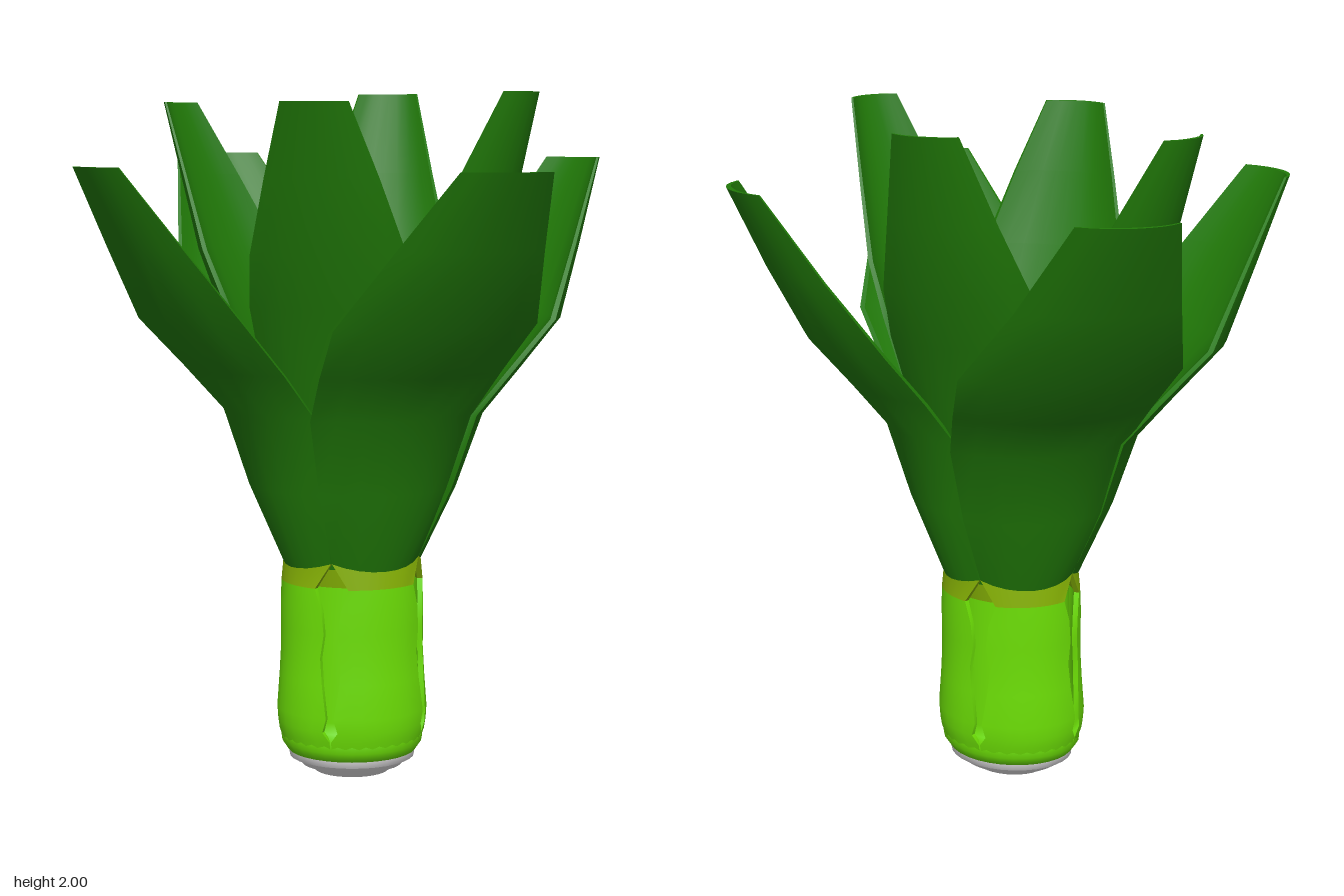
import * as THREE from 'three';
import { toCreasedNormals } from 'three/addons/utils/BufferGeometryUtils.js';

const mat = (name, color) => {
  const m = new THREE.MeshStandardMaterial({ color });
  m.name = name;
  return m;
};
const DEG = Math.PI / 180;

// The plant is oval in plan: longer along one diagonal, shorter along the other
const OVAL = new THREE.Matrix4().makeRotationY(Math.PI / 4)
  .multiply(new THREE.Matrix4().makeScale(1.12, 1, 0.88))
  .multiply(new THREE.Matrix4().makeRotationY(-Math.PI / 4));

// Curved blade swept through horizontal crescent sections, turned to its angle.
// Each row: [y, radius at the midrib, half width, sagitta, thickness, edge lift, sideways shift]
function blade(rows, angle, n = 8) {
  const pos = [], idx = [], ring = 2 * (n + 1);
  for (const [y, r, w, s, t, lift = 0, shift = 0] of rows) {
    const R = (w * w + s * s) / (2 * s), a = 2 * Math.atan2(s, w);
    const point = (u, rad) =>
      pos.push(shift + rad * Math.sin(a * u), y + lift * u * u, r - R + rad * Math.cos(a * u));
    for (let i = 0; i <= n; i++) point(-1 + 2 * i / n, R);
    for (let i = n; i >= 0; i--) point(-1 + 2 * i / n, R - t * (1 - 0.6 * Math.abs(-1 + 2 * i / n)));
  }
  for (let k = 0; k < rows.length - 1; k++) {
    for (let i = 0; i < ring; i++) {
      const a = k * ring + i, b = k * ring + (i + 1) % ring;
      idx.push(a, b, b + ring, a, b + ring, a + ring);
    }
  }
  // end caps
  const top = (rows.length - 1) * ring;
  for (let i = 0; i < n; i++) {
    const o = i, p = i + 1, q = ring - 2 - i, s = ring - 1 - i;
    idx.push(top + o, top + p, top + q, top + o, top + q, top + s);
    idx.push(o, q, p, o, s, q);
  }
  const g = new THREE.BufferGeometry();
  g.setAttribute('position', new THREE.Float32BufferAttribute(pos, 3));
  g.setIndex(idx);
  g.rotateY(angle * DEG);
  return toCreasedNormals(g.applyMatrix4(OVAL), 0.8);
}

const lathe = (points) =>
  new THREE.LatheGeometry(points.map(([x, y]) => new THREE.Vector2(x, y)), 32);

// Row of a sheath that follows a circle: radius and half angle in degrees
const sheathRow = (y, r, deg, lift = 0) =>
  [y, r, r * Math.sin(deg * DEG), r * (1 - Math.cos(deg * DEG)), 0.035, lift];

export function createModel() {
  const leafGreen = mat('leaf green', 0x217a08);
  const lime = mat('stalk lime', 0x6cde05);
  const olive = mat('neck yellow green', 0x86b204);
  const white = mat('root white', 0xf6f4f6);

  const model = new THREE.Group();
  model.name = 'leafyVegetable';
  const plant = new THREE.Group();
  plant.name = 'plant';
  plant.position.set(0.02, 0, -0.035);
  model.add(plant);

  const add = (name, geometry, material) => {
    const m = new THREE.Mesh(geometry, material);
    m.name = name;
    plant.add(m);
  };

  // Stepped root end
  add('rootEnd', lathe([[0, 0.012], [0.09, 0.008], [0.1, 0], [0.108, 0.018], [0.135, 0.022],
    [0.145, 0.04], [0.166, 0.046], [0.168, 0.075]]).applyMatrix4(OVAL), white);

  // Inner stalk with its rounded foot, neck and hidden heart
  add('stalk', lathe([[0.13, 0.06], [0.17, 0.066], [0.187, 0.095], [0.189, 0.13], [0.176, 0.15],
    [0.16, 0.18], [0.154, 0.585]]).applyMatrix4(OVAL), lime);
  add('neck', lathe([[0.154, 0.585], [0.166, 0.655]]).applyMatrix4(OVAL), olive);
  add('heart', lathe([[0.15, 0.655], [0.162, 0.78], [0.168, 0.88], [0.158, 0.94], [0.12, 0.99],
    [0.06, 1.015], [0, 1.02]]).scale(1.1, 1, 0.88), leafGreen);

  // Outer leaves: angle, tip height, spread, sideways shift at the widest part and at the tip
  const outer = [
    [-17, 1.79, 1, -0.03, 0.085], [73, 1.78, 1.03, 0, 0],
    [163, 1.81, 0.91, -0.07, 0.015], [253, 1.82, 1.1, 0, 0.01],
  ];
  for (const [angle, tip, k, wide, end] of outer) {
    const r = (v) => 0.18 + (v - 0.18) * k;
    add('outerSheath', blade([
      sheathRow(0.085, 0.18, 44), sheathRow(0.13, 0.193, 44.5), sheathRow(0.16, 0.197, 39),
      sheathRow(0.2, 0.199, 42), sheathRow(0.3, 0.192, 38), sheathRow(0.38, 0.188, 36),
      sheathRow(0.45, 0.188, 39), sheathRow(0.52, 0.188, 37), sheathRow(0.585, 0.186, 31),
    ], angle), lime);
    add('outerNeck', blade([
      sheathRow(0.585, 0.186, 31), sheathRow(0.635, 0.181, 44.5, 0.025),
    ], angle), olive);
    add('outerLeaf', blade([
      sheathRow(0.635, 0.181, 44.5, 0.025),
      [0.87, r(0.265), 0.19, 0.085, 0.035, 0, wide * 0.4],
      [1.09, r(0.325), 0.235, 0.11, 0.04, 0, wide * 0.8],
      [1.22, r(0.43), 0.26, 0.12, 0.04, 0, wide],
      [1.36, r(0.55), 0.285, 0.125, 0.035, 0, wide],
      [1.57, r(0.665), 0.205, 0.09, 0.025, 0, (wide + end) / 2],
      [tip, r(0.78), 0.125, 0.05, 0.015, 0, end],
    ], angle), leafGreen);
  }

  // Inner leaves, standing steeper in the gaps
  const inner = [[35, 1.96, 1.06], [101, 1.99, 0.98], [215, 2.0, 1.19], [288, 1.97, 1.02]];
  for (const [angle, tip, k] of inner) {
    const r = (v) => 0.165 + (v - 0.165) * k;
    add('innerLeaf', blade([
      [0.64, 0.164, 0.1, 0.035, 0.02],
      [0.87, r(0.208), 0.15, 0.07, 0.022],
      [1.1, r(0.255), 0.185, 0.09, 0.028],
      [1.4, r(0.355), 0.212, 0.1, 0.035],
      [1.55, r(0.41), 0.195, 0.085, 0.03],
      [1.76, r(0.47), 0.14, 0.06, 0.02],
      [tip, r(0.53), 0.082, 0.032, 0.013],
    ], angle), leafGreen);
  }
  return model;
}
